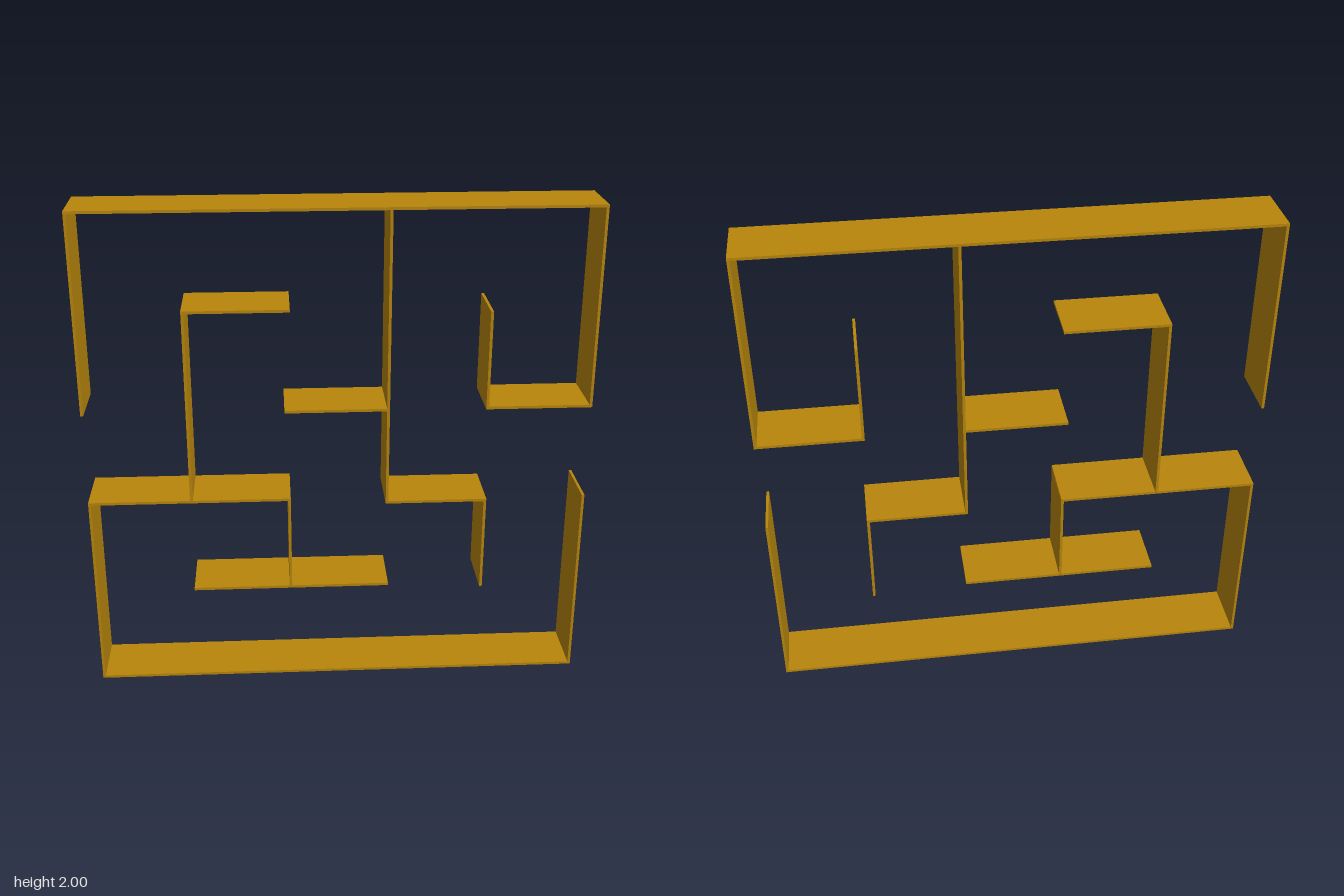
import * as THREE from 'three';

const DEPTH = 0.24; // front to back
const T = 0.011; // board thickness

export function createModel() {
  const group = new THREE.Group();
  group.name = 'mazeShelf';
  const material = new THREE.MeshStandardMaterial({ color: 0xb8860b });

  const board = (name, x, y, w, h) => {
    const mesh = new THREE.Mesh(new THREE.BoxGeometry(w, h, DEPTH), material);
    mesh.name = name;
    mesh.position.set(x, y, 0);
    group.add(mesh);
  };
  // Horizontal board from x0 to x1, centred on height y
  const shelf = (name, y, x0, x1) => board(name, (x0 + x1) / 2, y, x1 - x0, T);
  // Vertical board from y0 to y1, centred on x
  const upright = (name, x, y0, y1) => board(name, x, (y0 + y1) / 2, T, y1 - y0);

  const e = T / 2;

  // Outer frame, with a gap on each side
  shelf('topBoard', 2 - e, -1, 1);
  shelf('bottomBoard', e, -1, 1);
  upright('upperRightSide', -1 + e, 1.2, 2 - T);
  upright('lowerRightSide', -1 + e, T, 0.82 - e);
  upright('upperLeftSide', 1 - e, 1.2 + e, 2 - T);
  upright('lowerLeftSide', 1 - e, T, 0.81);

  // Stepped branch from the lower side
  shelf('middleShelf', 0.82, -1, -0.193);
  upright('tallDivider', -0.59, 0.82 + e, 1.61 - e);
  shelf('upperShelf', 1.61, -0.59 - e, -0.185);
  upright('shortDivider', -0.198, 0.42 + e, 0.82 - e);
  shelf('lowShelf', 0.42, -0.595, 0.205);

  // Branch hanging from the top board
  upright('centralDivider', 0.195, 0.798 + e, 2 - T);
  shelf('centralShelf', 1.2, -0.212, 0.195 - e);
  shelf('stepShelf', 0.798, 0.195 - e, 0.593 + e);
  upright('hangingDivider', 0.593, 0.397, 0.798 - e);

  // Open cubby on the left side
  shelf('cubbyShelf', 1.2, 0.585 - e, 1);
  upright('cubbyDivider', 0.585, 1.2 + e, 1.595);

  return group;
}
